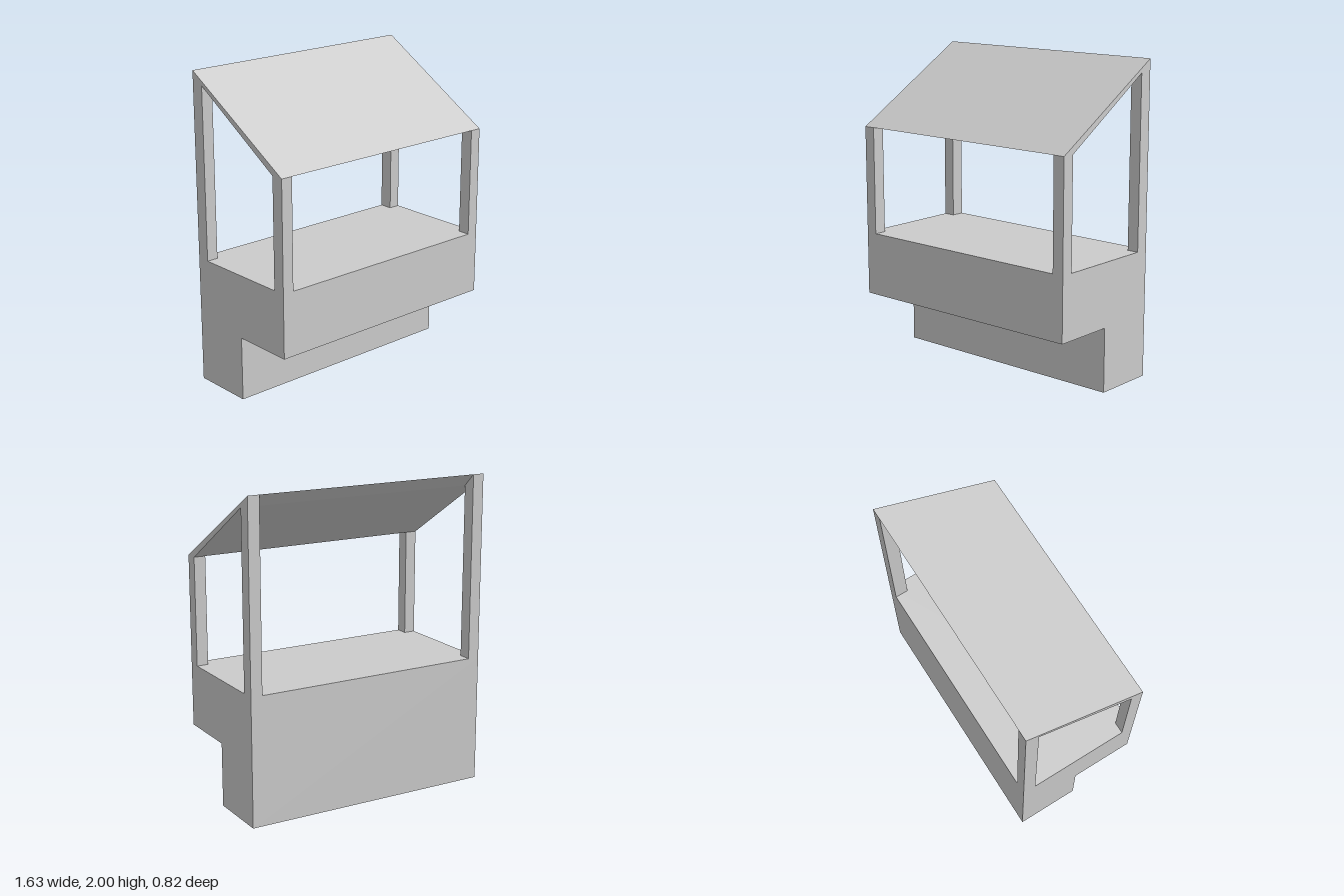
import * as THREE from 'three';

const W = 0.815;           // half width
const D = 0.408;           // half depth
const POST_X = 0.075;      // post width
const FRONT_IN = 0.327;    // inner faces of the posts
const BACK_IN = -0.322;
const COUNTER = 0.82, EAVE = 1.515, RIDGE = 2, RIDGE_IN = 1.92;

const material = new THREE.MeshStandardMaterial({ color: 0xcccccc, flatShading: true });

// Extrudes a [z, y] side profile along x from x0 to x1
function sideExtrusion(name, profile, x0, x1) {
  const shape = new THREE.Shape(profile.map(([z, y]) => new THREE.Vector2(z, y)));
  const geometry = new THREE.ExtrudeGeometry(shape, { depth: x1 - x0, bevelEnabled: false });
  geometry.rotateY(-Math.PI / 2).translate(x1, 0, 0);
  const mesh = new THREE.Mesh(geometry, material);
  mesh.name = name;
  return mesh;
}

export function createModel() {
  const group = new THREE.Group();
  group.name = 'stall';

  // Counter block overhanging a recessed plinth
  group.add(sideExtrusion('counter', [
    [-D, 0], [0, 0], [0, 0.41], [D, 0.41], [D, COUNTER], [-D, COUNTER],
  ], -W, W));

  // Sloping roof, its underside bevelled at the back and level at the eave
  group.add(sideExtrusion('roof', [
    [D, EAVE], [-D, RIDGE], [BACK_IN, RIDGE_IN], [FRONT_IN, EAVE],
  ], -W, W));

  // Corner posts
  for (const [side, x0] of [['left', W - POST_X], ['right', -W]]) {
    group.add(sideExtrusion(side + 'FrontPost', [
      [FRONT_IN, COUNTER], [D, COUNTER], [D, EAVE], [FRONT_IN, EAVE],
    ], x0, x0 + POST_X));
    group.add(sideExtrusion(side + 'BackPost', [
      [-D, COUNTER], [BACK_IN, COUNTER], [BACK_IN, RIDGE_IN], [-D, RIDGE],
    ], x0, x0 + POST_X));
  }
  return group;
}
